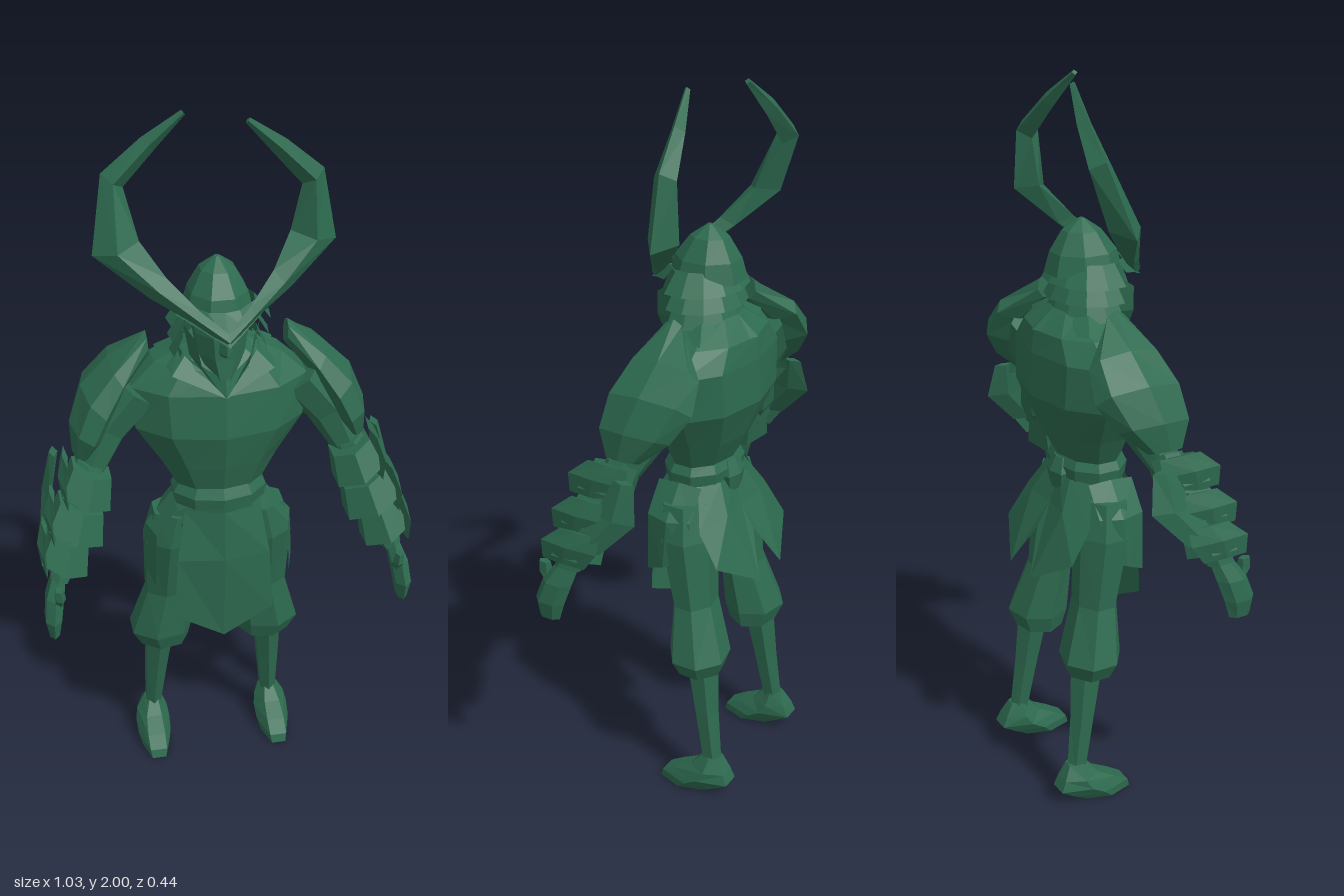
import * as THREE from 'three';

const green = new THREE.MeshStandardMaterial({ color: 0x2d6a4f, flatShading: true, side: THREE.DoubleSide });
green.name = 'armourGreen';

// Elliptical cross-section; tilt (degrees) turns it in the xy plane
function ring([x, y, z, rx, rz, tilt = 0], n, phase) {
  const t = THREE.MathUtils.degToRad(tilt), out = [];
  for (let i = 0; i < n; i++) {
    const a = ((i + phase) / n) * Math.PI * 2, u = rx * Math.cos(a);
    out.push([x + u * Math.cos(t), y + u * Math.sin(t), z + rz * Math.sin(a)]);
  }
  return out;
}

function meshFrom(name, rows, closed, capped) {
  const n = rows[0].length, pos = rows.flat(2), idx = [];
  const last = closed ? n : n - 1;
  for (let r = 0; r < rows.length - 1; r++) {
    for (let i = 0; i < last; i++) {
      const a = r * n + i, b = r * n + (i + 1) % n;
      idx.push(a, b, b + n, a, b + n, a + n);
    }
  }
  if (capped) {
    const base = (rows.length - 1) * n;
    for (let i = 1; i < n - 1; i++) idx.push(0, i + 1, i, base, base + i, base + i + 1);
  }
  const geo = new THREE.BufferGeometry();
  geo.setAttribute('position', new THREE.Float32BufferAttribute(pos, 3));
  geo.setIndex(idx);
  geo.computeVertexNormals();
  const mesh = new THREE.Mesh(geo, green);
  mesh.name = name;
  return mesh;
}

// Solid through sections listed from top to bottom
const loft = (name, sections, n = 8, phase = 0.5) =>
  meshFrom(name, sections.map((s) => ring(s, n, phase)), true, true);
// Open thin surface through rows of points
const sheet = (name, rows) => meshFrom(name, rows, false, false);

function horn(name, skew) {
  return loft(name, [
    [0.072, 1.995, -0.003 - 0.085 * skew, 0.008, 0.008, 50],
    [0.16, 1.915, -0.03 - 0.075 * skew, 0.024, 0.02, 45],
    [0.251, 1.825, -0.05 - 0.06 * skew, 0.034, 0.032, 35],
    [0.255, 1.67, -0.045, 0.062, 0.045, -14],
    [0.16, 1.585, 0.025, 0.034, 0.03, -48],
    [0.075, 1.527, 0.085, 0.018, 0.02, -60],
    [0.0, 1.48, 0.14, 0.014, 0.014, -60],
  ], 4, 0);
}

function buildTorso(g) {
  g.add(loft('torso', [
    [0, 1.41, -0.04, 0.08, 0.07],
    [0, 1.36, -0.045, 0.18, 0.12],
    [0, 1.30, -0.035, 0.25, 0.14],
    [0, 1.18, -0.03, 0.238, 0.15],
    [0, 1.07, -0.02, 0.165, 0.115],
    [0, 0.98, -0.01, 0.115, 0.08],
  ], 10));
  g.add(loft('belt', [
    [0, 1.0, -0.01, 0.118, 0.085], [0, 0.97, -0.01, 0.135, 0.1], [0, 0.935, -0.01, 0.13, 0.095],
  ], 10));
  g.add(loft('hips', [
    [0, 0.95, -0.01, 0.12, 0.085], [0, 0.88, -0.02, 0.185, 0.085], [0, 0.78, -0.03, 0.18, 0.07], [0, 0.7, -0.04, 0.1, 0.04],
  ], 10));
  g.add(loft('sashKnot', [[0, 0.99, -0.09, 0.03, 0.015], [0, 0.95, -0.1, 0.05, 0.025], [0, 0.9, -0.1, 0.035, 0.015]], 6));
  // Front apron, creased down the middle and pointed
  g.add(sheet('frontApron', [
    [[-0.105, 0.93, 0.06], [0, 0.93, 0.09], [0.105, 0.93, 0.06]],
    [[-0.13, 0.78, 0.08], [0, 0.78, 0.1], [0.13, 0.78, 0.08]],
    [[-0.14, 0.59, 0.08], [0, 0.51, 0.085], [0.14, 0.59, 0.08]],
  ]));
}

function buildHead(g) {
  g.add(loft('face', [
    [0, 1.52, 0.0, 0.08, 0.085], [0, 1.46, 0.01, 0.075, 0.085], [0, 1.4, 0.015, 0.065, 0.08],
    [0, 1.335, 0.04, 0.032, 0.06],
  ], 8));
  g.add(loft('nose', [[0, 1.49, 0.085, 0.01, 0.015], [0, 1.425, 0.095, 0.018, 0.03], [0, 1.41, 0.09, 0.01, 0.01]], 4, 0));
  g.add(loft('helmetDome', [
    [0, 1.64, -0.025, 0.008, 0.008], [0, 1.61, -0.025, 0.048, 0.052],
    [0, 1.555, -0.02, 0.08, 0.09], [0, 1.5, -0.02, 0.095, 0.105],
  ], 8));
  // Flared neck guard, four overlapping tiers open at the face
  for (let k = 0; k < 4; k++) {
    const arc = (y, r) => Array.from({ length: 9 }, (_, i) => {
      const a = THREE.MathUtils.degToRad(-20 + i * 27.5);
      return [r * Math.cos(a), y, -0.005 - r * 0.85 * Math.sin(a)];
    });
    const y = 1.535 - k * 0.045;
    g.add(sheet('neckGuardTier', [arc(y, 0.095 + k * 0.004), arc(y - 0.055, 0.138 - k * 0.004)]));
  }
  // Peak over the eyes
  g.add(sheet('helmetPeak', [
    [[-0.095, 1.54, 0.03], [-0.04, 1.53, 0.075], [0, 1.53, 0.085], [0.04, 1.53, 0.075], [0.095, 1.54, 0.03]],
    [[-0.12, 1.515, 0.04], [-0.055, 1.49, 0.105], [0, 1.465, 0.155], [0.055, 1.49, 0.105], [0.12, 1.515, 0.04]],
  ]));
}

// Parts of the model's left side, mirrored for the right
function buildSide() {
  const s = new THREE.Group();
  s.add(sheet('cheekGuard', [
    [[0.1, 1.49, 0.045], [0.075, 1.46, 0.09]],
    [[0.085, 1.4, 0.04], [0.062, 1.39, 0.098]],
    [[0.04, 1.33, 0.06], [0.022, 1.325, 0.1]],
  ]));
  s.add(sheet('collar', [
    [[0, 1.41, -0.11], [0, 1.36, -0.17]],
    [[0.1, 1.41, -0.06], [0.16, 1.37, -0.09]],
    [[0.095, 1.39, 0.03], [0.135, 1.355, 0.07]],
    [[0, 1.345, 0.1], [0, 1.3, 0.115]],
  ]));
  // Arm
  s.add(loft('upperArm', [
    [0.22, 1.29, -0.03, 0.075, 0.09, 40], [0.3, 1.19, -0.02, 0.065, 0.075, 38], [0.355, 1.07, 0.02, 0.04, 0.045, 25],
  ], 7));
  s.add(loft('shoulderGuard', [
    [0.185, 1.41, -0.03, 0.035, 0.03, 85],
    [0.265, 1.335, -0.045, 0.042, 0.105, 55],
    [0.32, 1.26, -0.035, 0.058, 0.125, 40],
    [0.355, 1.185, -0.01, 0.05, 0.105, 25],
    [0.375, 1.12, 0.01, 0.025, 0.05, 20],
  ], 7, 0));
  s.add(loft('forearm', [[0.35, 1.1, 0.02, 0.045, 0.05, 25], [0.4, 0.97, 0.06, 0.06, 0.065, 25], [0.46, 0.81, 0.13, 0.03, 0.04, 20]], 7));
  const cuffs = [[0.36, 1.055, 0.055, 0.078, 0.08], [0.395, 0.965, 0.08, 0.088, 0.082], [0.432, 0.88, 0.1, 0.075, 0.076]];
  for (const [x, y, z, rx, rz] of cuffs) {
    s.add(loft('forearmBand', [
      [x - 0.008, y + 0.035, z - 0.01, rx * 0.8, rz * 0.8, 24], [x + 0.015, y - 0.04, z + 0.012, rx, rz, 24],
    ], 6, 0.5));
    s.add(loft('forearmPlate', [
      [x + rx * 0.75, y + 0.065, z - 0.03, 0.008, 0.06, 20],
      [x + rx * 0.9, y + 0.02, z, 0.014, 0.085, 20],
      [x + rx * 0.85, y - 0.035, z + 0.02, 0.01, 0.065, 20],
    ], 4, 0));
  }
  s.add(loft('elbowFin', [[0.445, 1.1, -0.04, 0.012, 0.03], [0.468, 1.0, -0.025, 0.015, 0.06], [0.49, 0.9, 0.06, 0.012, 0.05]], 4, 0));
  s.add(loft('hand', [
    [0.46, 0.83, 0.125, 0.02, 0.032], [0.478, 0.77, 0.155, 0.027, 0.045],
    [0.487, 0.71, 0.175, 0.025, 0.045], [0.487, 0.66, 0.178, 0.015, 0.032],
  ], 6));
  s.add(loft('thumb', [[0.468, 0.815, 0.2, 0.012, 0.018], [0.466, 0.785, 0.2, 0.015, 0.02], [0.47, 0.75, 0.17, 0.015, 0.02]], 5));
  // Leg
  s.add(loft('trouserLeg', [
    [0.105, 0.9, -0.02, 0.085, 0.07], [0.125, 0.8, -0.03, 0.09, 0.08], [0.135, 0.6, -0.06, 0.075, 0.06],
    [0.16, 0.445, -0.088, 0.095, 0.085], [0.152, 0.395, -0.088, 0.075, 0.065],
  ], 7));
  s.add(loft('shin', [[0.162, 0.42, -0.1, 0.046, 0.05], [0.172, 0.27, -0.12, 0.036, 0.038], [0.182, 0.09, -0.145, 0.024, 0.03]], 6));
  s.add(loft('foot', [
    [0.182, 0.125, -0.147, 0.026, 0.03], [0.186, 0.085, -0.14, 0.046, 0.062],
    [0.187, 0.055, -0.12, 0.052, 0.1], [0.187, 0.03, -0.08, 0.05, 0.1], [0.187, 0.005, -0.055, 0.042, 0.08],
  ], 6, 0));
  // Hanging cloth
  s.add(sheet('sideFlap', [
    [[0.125, 0.94, 0.06], [0.135, 0.95, -0.01], [0.12, 0.94, -0.07]],
    [[0.185, 0.86, 0.06], [0.205, 0.86, -0.01], [0.18, 0.86, -0.07]],
    [[0.19, 0.69, 0.06], [0.21, 0.72, 0.0], [0.195, 0.74, -0.055]],
  ]));
  s.add(sheet('backFlap', [
    [[0, 0.94, -0.095], [0.06, 0.94, -0.095], [0.12, 0.94, -0.06]],
    [[0, 0.86, -0.125], [0.09, 0.86, -0.135], [0.18, 0.84, -0.1]],
    [[0, 0.79, -0.165], [0.06, 0.67, -0.22], [0.19, 0.75, -0.16]],
  ]));
  return s;
}

export function createModel() {
  const model = new THREE.Group();
  model.name = 'hornedWarrior';
  buildTorso(model);
  buildHead(model);
  const left = buildSide();
  left.name = 'leftSide';
  left.add(horn('leftHorn', 0));
  const right = buildSide();
  right.name = 'rightSide';
  right.add(horn('rightHorn', 1));
  right.scale.x = -1;
  model.add(left, right);
  return model;
}
